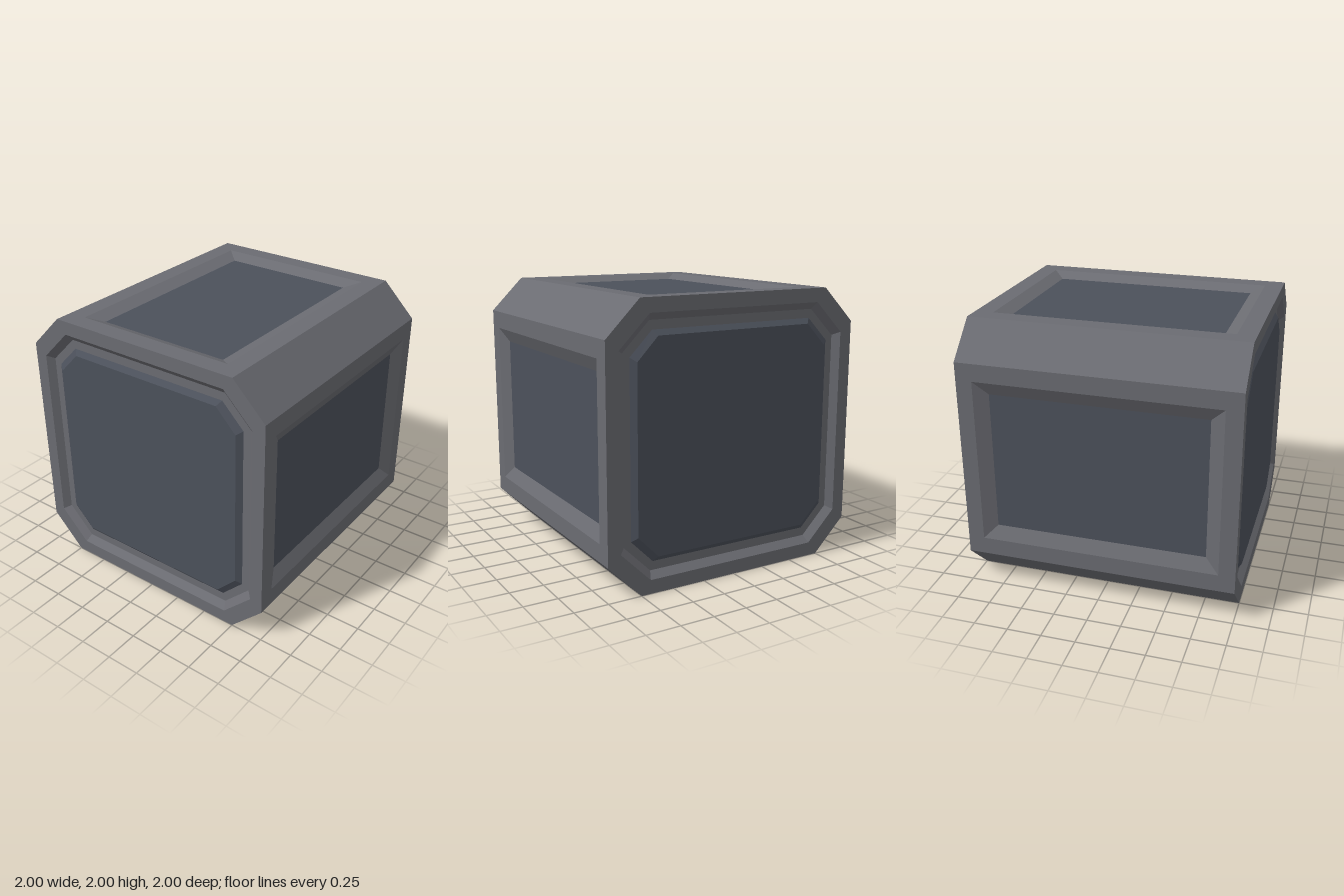
import * as THREE from 'three';

const frameMat = new THREE.MeshStandardMaterial({ color: 0x6b6c72, flatShading: true });
const panelMat = new THREE.MeshStandardMaterial({ color: 0x4c515b, flatShading: true });

// Counter-clockwise outlines facing +z
const rect = (w, h, z) => [[w, -h, z], [w, h, z], [-w, h, z], [-w, -h, z]];
const octagon = (w, h, cx, cy, z) => [
  [w, -cy, z], [w, cy, z], [cx, h, z], [-cx, h, z],
  [-w, cy, z], [-w, -cy, z], [-cx, -h, z], [cx, -h, z],
];

// Joins nested outlines from the outside in, optionally closing the last one
function steps(rings, capped) {
  const pos = [];
  for (let r = 0; r < rings.length - 1; r++) {
    const a = rings[r], b = rings[r + 1], n = a.length;
    for (let i = 0; i < n; i++) {
      const j = (i + 1) % n;
      pos.push(...a[i], ...a[j], ...b[j], ...a[i], ...b[j], ...b[i]);
    }
  }
  if (capped) {
    const c = rings[rings.length - 1];
    for (let i = 1; i < c.length - 1; i++) pos.push(...c[0], ...c[i], ...c[i + 1]);
  }
  const geo = new THREE.BufferGeometry();
  geo.setAttribute('position', new THREE.Float32BufferAttribute(pos, 3));
  geo.computeVertexNormals();
  return geo;
}

function part(name, geo, mat) {
  const mesh = new THREE.Mesh(geo, mat);
  mesh.name = name;
  return mesh;
}

// A wall with a sloped rectangular recess and a dark floor
function recessedWall(name, halfW, halfH, outer, inner, depth) {
  const floor = rect(inner[0], inner[1], 1 - depth);
  const wall = new THREE.Group();
  wall.name = name;
  wall.add(
    part(name + 'Frame', steps([rect(halfW, halfH, 1), rect(outer[0], outer[1], 1), floor]), frameMat),
    part(name + 'Panel', steps([floor], true), panelMat),
  );
  return wall;
}

// An octagonal end: rim, sunken groove and raised bevelled panel
function endFace(name) {
  const base = octagon(0.805, 0.787, 0.64, 0.62, 0.955);
  const end = new THREE.Group();
  end.name = name;
  end.add(
    part(name + 'Rim', steps([
      octagon(1, 1, 0.75, 0.75, 1),
      octagon(0.905, 0.9, 0.68, 0.675, 1),
      octagon(0.86, 0.85, 0.66, 0.65, 0.955),
      base,
    ]), frameMat),
    part(name + 'Panel', steps([base, octagon(0.765, 0.75, 0.61, 0.59, 0.985)], true), panelMat),
  );
  return end;
}

export function createModel() {
  const model = new THREE.Group();
  model.name = 'crate';
  const body = new THREE.Group();
  body.name = 'body';
  body.position.y = 1;
  model.add(body);

  for (const s of [1, -1]) {
    // Front and back ends
    const end = endFace(s > 0 ? 'front' : 'back');
    end.rotation.y = s > 0 ? 0 : Math.PI;

    // Left and right walls
    const side = recessedWall(s > 0 ? 'leftWall' : 'rightWall', 1, 0.75, [0.88, 0.62], [0.78, 0.52], 0.05);
    side.rotation.y = s * Math.PI / 2;

    // Top and bottom walls
    const lid = recessedWall(s > 0 ? 'topWall' : 'bottomWall', 0.75, 1, [0.615, 0.865], [0.51, 0.77], 0.04);
    lid.rotation.x = -s * Math.PI / 2;

    body.add(end, side, lid);
  }

  // Four chamfered long edges
  for (let i = 0; i < 4; i++) {
    const a = Math.PI / 4 + i * Math.PI / 2;
    const geo = new THREE.PlaneGeometry(2, 0.25 * Math.SQRT2);
    geo.rotateY(Math.PI / 2).translate(0.875 * Math.SQRT2, 0, 0).rotateZ(a);
    body.add(part('chamfer', geo, frameMat));
  }
  return model;
}
